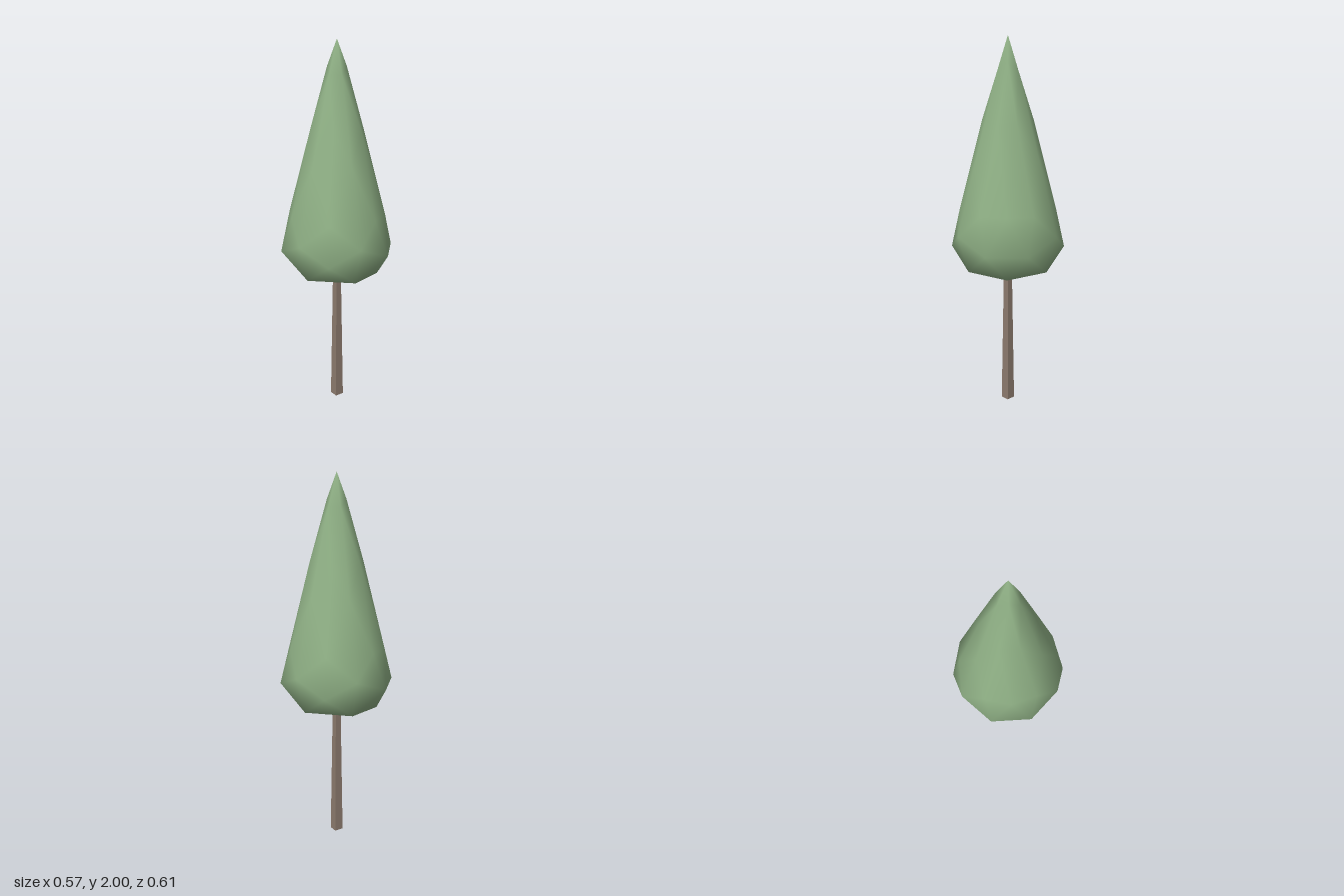
import * as THREE from 'three';
import { mergeVertices } from 'three/addons/utils/BufferGeometryUtils.js';

// Foliage: a once-divided icosahedron, stretched upward and tapered to a point
function foliageGeometry() {
  let geo = new THREE.IcosahedronGeometry(1, 1);
  geo.deleteAttribute('uv');
  geo.deleteAttribute('normal');
  geo = mergeVertices(geo, 1e-3);
  const p = geo.attributes.position;
  for (let i = 0; i < p.count; i++) {
    const h = p.getY(i);
    const spread = 0.258 - 0.19 * h; // wide below, narrow above
    const y = 1.1 + h * (h > 0 ? 0.9 : 0.395);
    p.setXYZ(i, p.getX(i) * spread, y, p.getZ(i) * spread);
  }
  geo.computeVertexNormals();
  return geo;
}

export function createModel() {
  const tree = new THREE.Group();
  tree.name = 'tree';

  const foliage = new THREE.Mesh(
    foliageGeometry(),
    new THREE.MeshStandardMaterial({ color: 0x8fb085 })
  );
  foliage.name = 'foliage';

  // Trunk: four-sided taper with corners on the axes, its top hidden in the foliage
  const height = 0.76;
  const trunk = new THREE.Mesh(
    new THREE.CylinderGeometry(0.022, 0.035, height, 4),
    new THREE.MeshStandardMaterial({ color: 0x8c7b6e, flatShading: true })
  );
  trunk.name = 'trunk';
  trunk.position.y = height / 2;

  tree.add(foliage, trunk);
  return tree;
}
